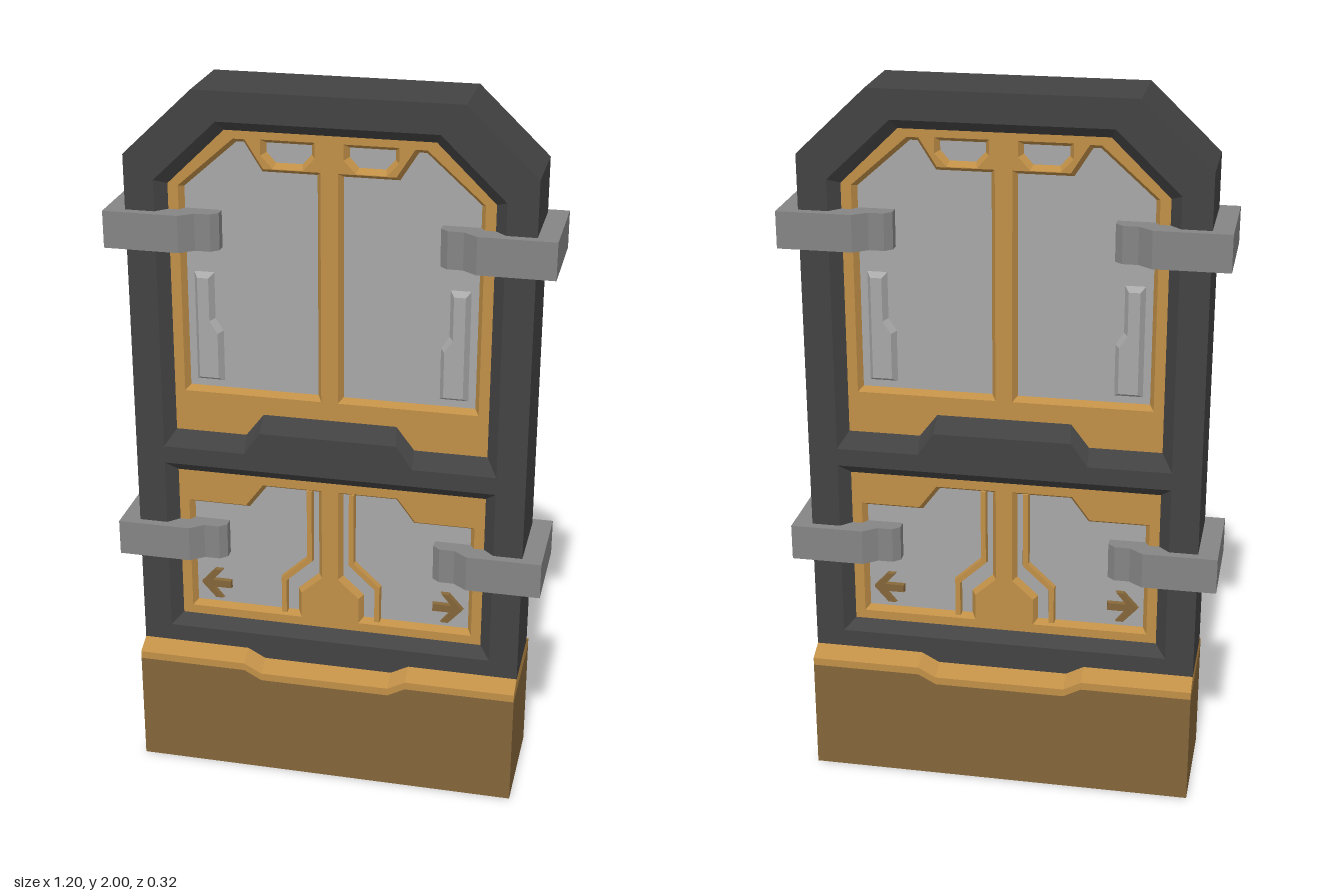
import * as THREE from 'three';

const mat = (color) => new THREE.MeshStandardMaterial({ color, flatShading: true });
const frameMat = mat(0x434343);
const goldMat = mat(0xc08f47);
const brownMat = mat(0x856639);
const steelMat = mat(0x858585);
const glassMat = mat(0xa8a8a8);

// Depths of the stepped surfaces
const Z_FRAME = 0.11, Z_PANEL = 0.08, Z_GLASS = 0.06;

const mirrorX = (poly) => poly.map(([x, y]) => [-x, y]);
const ccw = (poly) =>
  THREE.ShapeUtils.isClockWise(poly.map(([x, y]) => new THREE.Vector2(x, y))) ? [...poly].reverse() : poly;

// Full symmetric outline from its right half (first and last points off the axis)
const symmetric = (half) => ccw([...half, ...mirrorX(half).reverse()]);

// Mitred inward offset of a polygon
function inset(source, d) {
  const poly = ccw(source), n = poly.length;
  const normal = (a, b) => {
    const l = Math.hypot(b[0] - a[0], b[1] - a[1]);
    return [-(b[1] - a[1]) / l, (b[0] - a[0]) / l];
  };
  return poly.map((p, i) => {
    const a = normal(poly[(i + n - 1) % n], p), b = normal(p, poly[(i + 1) % n]);
    const k = d / (1 + a[0] * b[0] + a[1] * b[1]);
    return [p[0] + k * (a[0] + b[0]), p[1] + k * (a[1] + b[1])];
  });
}

// Skin through a list of 3D loops, with optional end caps
function loft(loops, capped = false) {
  const pos = [];
  const tri = (...pts) => pts.forEach((p) => pos.push(...p));
  for (let s = 0; s + 1 < loops.length; s++) {
    const a = loops[s], b = loops[s + 1];
    a.forEach((_, i) => {
      const j = (i + 1) % a.length;
      tri(a[i], a[j], b[j]);
      tri(a[i], b[j], b[i]);
    });
  }
  if (capped) {
    const first = loops[0], last = loops[loops.length - 1];
    for (let i = 1; i + 1 < first.length; i++) {
      tri(first[0], first[i + 1], first[i]);
      tri(last[0], last[i], last[i + 1]);
    }
  }
  const g = new THREE.BufferGeometry();
  g.setAttribute('position', new THREE.Float32BufferAttribute(pos, 3));
  g.computeVertexNormals();
  return g;
}

const atZ = (poly, z) => ccw(poly).map(([x, y]) => [x, y, z]);

function add(parent, name, geometry, material) {
  const mesh = new THREE.Mesh(geometry, material);
  mesh.name = name;
  parent.add(mesh);
  return mesh;
}

function shapeOf(poly, holes = []) {
  const vec = (p) => p.map(([x, y]) => new THREE.Vector2(x, y));
  const shape = new THREE.Shape(vec(poly));
  shape.holes = holes.map((h) => new THREE.Path(vec(h)));
  return shape;
}

const face = (poly, z, holes) => new THREE.ShapeGeometry(shapeOf(poly, holes)).translate(0, 0, z);

// Raised plate with sloped edges
function plate(parent, name, poly, z0, z1, bevel, material) {
  const top = inset(poly, bevel);
  const g = new THREE.Group();
  g.name = name;
  add(g, name + 'Edge', loft([atZ(poly, z0), atZ(top, z1)]), material);
  add(g, name + 'Face', face(top, z1), material);
  parent.add(g);
}

// Outlines: [x, y]
const outline = symmetric([[0.185, 0.34], [0.235, 0.37], [0.545, 0.37], [0.545, 1.82], [0.355, 2]]);
const openings = [
  {
    name: 'upper',
    outer: symmetric([[0.19, 1.055], [0.235, 0.99], [0.465, 0.99], [0.465, 1.755], [0.292, 1.92]]),
    inner: symmetric([[0.185, 1.10], [0.235, 1.035], [0.435, 1.035], [0.435, 1.74], [0.278, 1.892]]),
    windows: [
      [[0.035, 1.165], [0.395, 1.165], [0.395, 1.73], [0.25, 1.858], [0.23, 1.858], [0.182, 1.782], [0.035, 1.782]],
      [[0.05, 1.86], [0.05, 1.835], [0.075, 1.808], [0.145, 1.808], [0.17, 1.835], [0.17, 1.86]],
    ],
  },
  {
    name: 'lower',
    outer: symmetric([[0.465, 0.42], [0.465, 0.94]]),
    inner: symmetric([[0.435, 0.45], [0.435, 0.91]]),
    windows: [
      [[0.095, 0.488], [0.395, 0.488], [0.395, 0.805], [0.235, 0.805], [0.185, 0.872],
        [0.035, 0.872], [0.035, 0.615], [0.095, 0.56]],
    ],
  },
];
const handle = [[0.375, 1.185], [0.375, 1.495], [0.32, 1.495], [0.32, 1.365], [0.298, 1.33], [0.298, 1.185]];
const strip = [[0.07, 0.88], [0.05, 0.88], [0.05, 0.655], [0.125, 0.585], [0.125, 0.48],
  [0.145, 0.48], [0.145, 0.595], [0.07, 0.665]];
const arrow = [[0.382, 0.55], [0.34, 0.597], [0.315, 0.597], [0.343, 0.563], [0.292, 0.563],
  [0.292, 0.537], [0.343, 0.537], [0.315, 0.503], [0.34, 0.503]];

// Everything on one face of the door
function doorFace(name) {
  const side = new THREE.Group();
  side.name = name;
  add(side, 'frameFace', face(outline, Z_FRAME, openings.map((o) => o.outer)), frameMat);

  for (const o of openings) {
    add(side, o.name + 'FrameBevel', loft([atZ(o.outer, Z_FRAME), atZ(o.inner, Z_PANEL)]), frameMat);
    const windows = o.windows.flatMap((w) => [w, mirrorX(w)]);
    const rims = windows.map((w) => inset(w, -0.012));
    add(side, o.name + 'Panel', face(o.inner, Z_PANEL, rims), goldMat);
    windows.forEach((w, i) => {
      add(side, o.name + 'WindowRim', loft([atZ(rims[i], Z_PANEL), atZ(inset(w, 0), Z_GLASS)]), goldMat);
      add(side, o.name + 'Window', face(w, Z_GLASS), glassMat);
    });
  }

  for (const m of [(p) => p, mirrorX]) {
    plate(side, 'handle', m(handle), Z_GLASS, Z_GLASS + 0.02, 0.012, glassMat);
    plate(side, 'windowStrip', m(strip), Z_GLASS, Z_GLASS + 0.015, 0.003, goldMat);
    plate(side, 'arrow', m(arrow), Z_GLASS, Z_GLASS + 0.012, 0.002, brownMat);
  }
  return side;
}

export function createModel() {
  const model = new THREE.Group();
  model.name = 'door';

  // Frame side walls and the two matching faces
  add(model, 'frameSides', loft([atZ(outline, -Z_FRAME), atZ(outline, Z_FRAME)]), frameMat);
  const back = doorFace('backFace');
  back.rotation.y = Math.PI;
  model.add(doorFace('frontFace'), back);

  // Base: cross-sections along x, dipping in the middle
  const stations = [[-0.545, 0], [-0.235, 0], [-0.185, 0.027], [0.185, 0.027], [0.235, 0], [0.545, 0]];
  const along = (section) => loft(stations.map(([x, dip]) => section(dip).map(([z, y]) => [x, y, z])), true);
  add(model, 'base', along((d) => [[0.16, 0], [-0.16, 0], [-0.16, 0.325 - d], [0.16, 0.325 - d]]), brownMat);
  add(model, 'baseTrim', along((d) => [[0.16, 0.325 - d], [-0.16, 0.325 - d], [-0.16, 0.347 - d],
    [-0.11, 0.37 - d], [0.11, 0.37 - d], [0.16, 0.347 - d]]), goldMat);

  // Clamps wrapping both edges, profile drawn in [x, z]
  const clampHalf = [[0.6, 0.135], [0.395, 0.135], [0.357, 0.106], [0.315, 0.106], [0.295, 0.088], [0.295, 0.04]];
  const clamp = ccw([...clampHalf, ...clampHalf.map(([x, z]) => [x, -z]).reverse()]);
  for (const [profile, sideName] of [[clamp, 'left'], [ccw(mirrorX(clamp)), 'right']]) {
    for (const y of [0.652, 1.568]) {
      const g = new THREE.ExtrudeGeometry(shapeOf(profile), { depth: 0.102, bevelEnabled: false });
      g.rotateX(-Math.PI / 2).translate(0, y, 0);
      add(model, sideName + 'Clamp', g, steelMat);
    }
  }
  return model;
}
